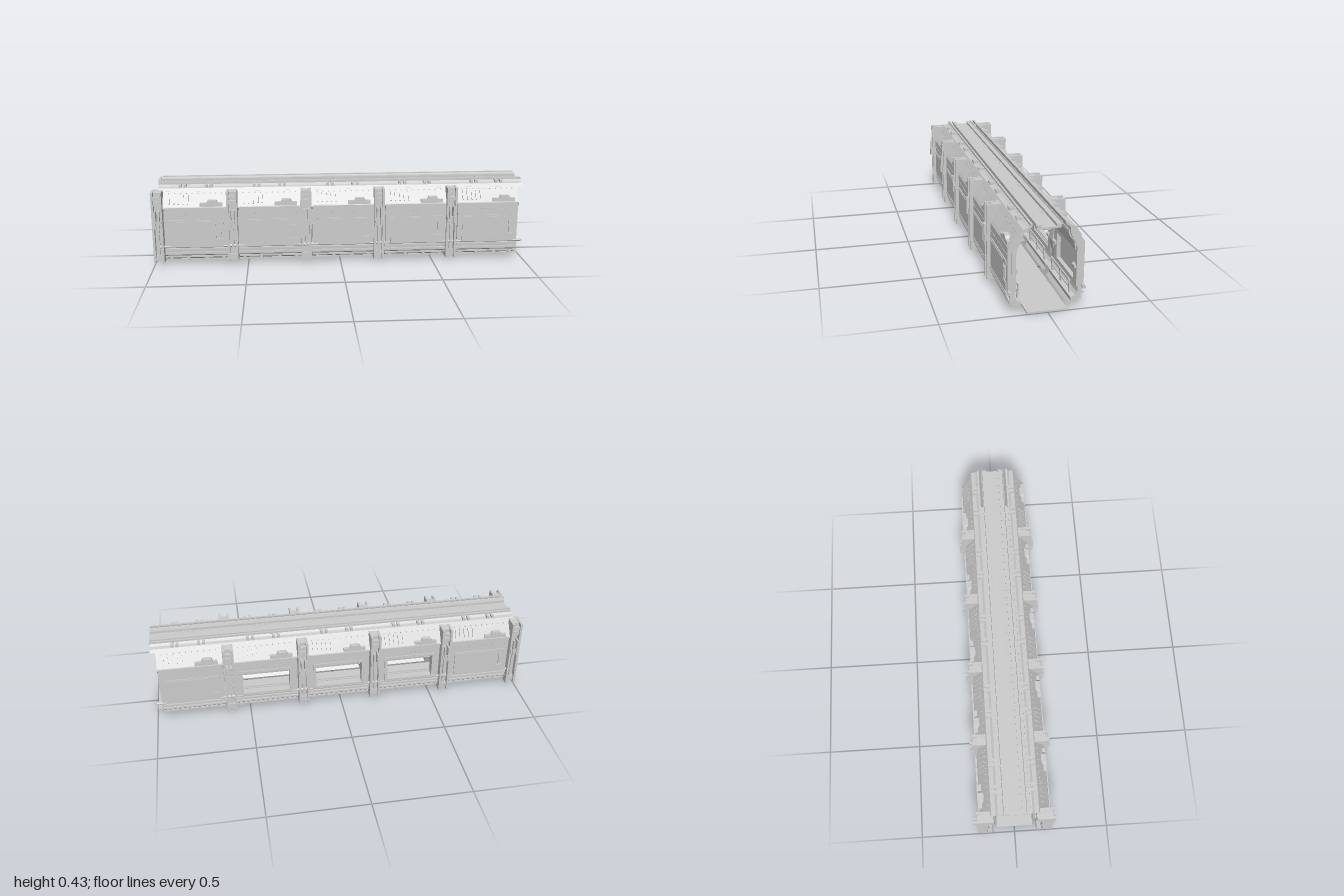
import * as THREE from 'three';

const material = new THREE.MeshStandardMaterial({ color: 0xcccccc, flatShading: true, side: THREE.DoubleSide });
const PITCH = 0.393, FIRST = -0.772, COUNT = 5;

function add(parent, name, geometry, x = 0, y = 0, z = 0) {
  const mesh = new THREE.Mesh(geometry, material);
  mesh.name = name;
  mesh.position.set(x, y, z);
  parent.add(mesh);
  return mesh;
}

function box(parent, name, w, h, d, x, y, z) {
  return add(parent, name, new THREE.BoxGeometry(w, h, d), x, y, z);
}

// Cross-section of [z, y] points swept along x, centred on x
function sweep(parent, name, points, length, x = 0) {
  const shape = new THREE.Shape(points.map(([z, y]) => new THREE.Vector2(-z, y)));
  const g = new THREE.ExtrudeGeometry(shape, { depth: length, bevelEnabled: false });
  g.translate(0, 0, -length / 2).rotateY(Math.PI / 2);
  return add(parent, name, g, x);
}

// Outline in the x-y plane with holes, with its back at z
function plate(parent, name, outline, holes, depth, z) {
  const toPoints = (list) => list.map(([x, y]) => new THREE.Vector2(x, y));
  const shape = new THREE.Shape(toPoints(outline));
  holes.forEach((h) => shape.holes.push(new THREE.Path(toPoints(h))));
  return add(parent, name, new THREE.ExtrudeGeometry(shape, { depth, bevelEnabled: false }), 0, 0, z);
}

const rect = (x0, y0, x1, y1) => [[x0, y0], [x1, y0], [x1, y1], [x0, y1]];

// One side wall of a bay, built facing +z
function wallPanel(open) {
  const wall = new THREE.Group();
  wall.name = open ? 'windowWall' : 'solidWall';

  // Curved foot of the wall with stepped strips
  sweep(wall, 'wallFoot', [[0.105, 0.014], [0.118, 0.02], [0.15, 0.034], [0.168, 0.055], [0.172, 0.1],
    [0.15, 0.1], [0.148, 0.07], [0.138, 0.056], [0.115, 0.05], [0.118, 0.03]], 0.34);
  [[0.045, 0.163], [0.068, 0.173], [0.09, 0.177]].forEach(([y, z]) =>
    box(wall, 'footStrip', 0.335, 0.009, 0.014, 0, y, z));
  for (const x of [-0.14, -0.05, 0.05, 0.14]) box(wall, 'footClip', 0.016, 0.012, 0.03, x, 0.03, 0.14);

  // Main plate, with or without its window
  const opening = rect(-0.125, 0.122, 0.125, 0.25);
  plate(wall, 'mainPlate', rect(-0.165, 0.1, 0.165, 0.318), open ? [opening] : [], 0.018, 0.162);
  plate(wall, 'innerFrame', rect(-0.17, 0.1, 0.17, 0.3), [opening], 0.02, 0.142);
  if (!open) {
    // Raised door with a notch around the handle
    plate(wall, 'doorPanel', [[-0.138, 0.102], [0.145, 0.102], [0.145, 0.145], [0.105, 0.145], [0.105, 0.225],
      [0.145, 0.225], [0.145, 0.25], [-0.138, 0.25]], [], 0.005, 0.18);
    box(wall, 'doorHandle', 0.018, 0.06, 0.008, 0.126, 0.185, 0.183);
    box(wall, 'doorRail', 0.24, 0.005, 0.004, -0.02, 0.24, 0.186);
  } else {
    plate(wall, 'windowFrame', rect(-0.14, 0.108, 0.14, 0.264), [opening], 0.006, 0.18);
    // Sill rack inside the window
    for (const y of [0.13, 0.142]) box(wall, 'sillBar', 0.25, 0.005, 0.008, 0, y, 0.15);
  }
  for (let i = 0; i < 14; i++) box(wall, 'rivet', 0.005, 0.005, 0.004, -0.143 + i * 0.022, 0.283, 0.181);

  // Sloping shoulder and the hooked lip along the roof
  sweep(wall, 'shoulder', [[0.18, 0.312], [0.176, 0.322], [0.128, 0.395], [0.108, 0.4], [0.108, 0.375],
    [0.114, 0.352], [0.142, 0.302], [0.15, 0.29], [0.165, 0.295]], 0.34);
  sweep(wall, 'roofLip', [[0.13, 0.396], [0.12, 0.411], [0.098, 0.415], [0.086, 0.424], [0.086, 0.434],
    [0.076, 0.434], [0.076, 0.427], [0.08, 0.418], [0.095, 0.408], [0.108, 0.398]], PITCH);
  for (const x of [-0.068, 0.068]) {
    for (const dx of [-0.013, 0.013]) box(wall, 'roofClamp', 0.015, 0.018, 0.03, x + dx, 0.418, 0.102);
  }

  // Louvre fins and a stepped housing on the shoulder
  const slope = Math.atan2(0.048, 0.073);
  for (let i = 0; i < 5; i++) {
    box(wall, 'louvreFin', 0.006, 0.052, 0.012, -0.135 + i * 0.024, 0.357, 0.155).rotation.x = -slope;
  }
  plate(wall, 'shoulderHousing', [[0.025, 0.322], [0.145, 0.322], [0.145, 0.342], [0.12, 0.342], [0.112, 0.356],
    [0.068, 0.356], [0.06, 0.342], [0.025, 0.342]], [], 0.035, 0.144);
  for (let i = 0; i < 10; i++) box(wall, 'shoulderStud', 0.005, 0.005, 0.007, -0.14 + i * 0.031, 0.386, 0.134);

  // Interior trim: padded header, pipe, folding rail
  sweep(wall, 'innerHeader', [[0.148, 0.265], [0.138, 0.275], [0.132, 0.315], [0.106, 0.352], [0.105, 0.372],
    [0.112, 0.376], [0.15, 0.31]], 0.31);
  sweep(wall, 'innerLedge', [[0.15, 0.185], [0.133, 0.188], [0.131, 0.2], [0.137, 0.206], [0.15, 0.206]], 0.03, -0.145);
  sweep(wall, 'innerLedge', [[0.15, 0.185], [0.133, 0.188], [0.131, 0.2], [0.137, 0.206], [0.15, 0.206]], 0.03, 0.145);
  const pipe = new THREE.CylinderGeometry(0.008, 0.008, 0.39, 10).rotateZ(Math.PI / 2);
  add(wall, 'sidePipe', pipe, 0, 0.104, 0.174);
  for (const y of [0.085, 0.12]) box(wall, 'railBar', 0.28, 0.006, 0.006, 0, y, 0.122);
  for (const x of [-0.13, 0, 0.13]) box(wall, 'railPost', 0.012, 0.068, 0.007, x, 0.09, 0.123).rotation.x = -0.08;
  return wall;
}

// Upright support between bays, built facing +z
function rib() {
  const group = new THREE.Group();
  group.name = 'rib';
  const inner = [[0.125, 0.018], [0.115, 0.03], [0.118, 0.05], [0.142, 0.062], [0.15, 0.09], [0.145, 0.14],
    [0.134, 0.19], [0.14, 0.24], [0.135, 0.3], [0.112, 0.345], [0.106, 0.36], [0.108, 0.405]];
  for (const x of [-0.022, 0.022]) sweep(group, 'ribFlange', [...inner, [0.197, 0.405], [0.197, 0.018]], 0.012, x);
  sweep(group, 'ribWeb', [...inner, [0.17, 0.4], [0.17, 0.018]], 0.034);
  // Bracket fins and equipment in the channel
  for (const x of [-0.01, 0.01]) box(group, 'bracketFin', 0.009, 0.09, 0.045, x, 0.26, 0.188);
  box(group, 'bracketBase', 0.046, 0.03, 0.008, 0, 0.235, 0.2);
  for (const y of [0.345, 0.372]) box(group, 'channelBox', 0.032, 0.02, 0.02, 0, y, 0.18);
  box(group, 'channelConduit', 0.012, 0.16, 0.012, 0, 0.12, 0.176);
  box(group, 'channelFoot', 0.034, 0.03, 0.018, 0, 0.045, 0.178);
  return group;
}

export function createModel() {
  const model = new THREE.Group();
  model.name = 'corridor';

  for (let i = 0; i < COUNT; i++) {
    const x = FIRST + i * PITCH;
    for (const back of [false, true]) {
      const wall = wallPanel(back && i > 0 && i < COUNT - 1);
      const support = rib();
      wall.position.x = x;
      support.position.x = x - 0.2;
      wall.rotation.y = support.rotation.y = back ? Math.PI : 0;
      model.add(wall, support);
    }
    // Ceiling tabs and lamp of each bay
    for (const s of [-1, 1]) {
      plate(model, 'ceilingTab', [[-0.04, 0], [0.04, 0], [0.03, 0.014], [-0.03, 0.014]], [], 0.004, 0)
        .rotation.x = -Math.PI / 2;
      const tab = model.children[model.children.length - 1];
      tab.rotation.z = s < 0 ? Math.PI : 0;
      tab.position.set(x, 0.411, s * 0.035);
    }
  }

  // Floor
  box(model, 'floor', 1.97, 0.008, 0.191, 0.013, 0.005, 0.002);
  for (let i = 0; i < 10; i++) box(model, 'floorSeam', 0.003, 0.001, 0.19, -0.87 + i * 0.1965, 0.0005, 0.002);

  // Ceiling with side channels
  const half = [[0.04, 0.406], [0.056, 0.406], [0.056, 0.422], [0.062, 0.422], [0.062, 0.433],
    [0.059, 0.433], [0.057, 0.426], [0.034, 0.426], [0.034, 0.413]];
  const mirrored = half.map(([z, y]) => [-z, y]).reverse();
  sweep(model, 'ceiling', [...half, ...mirrored], 1.97, 0.013);
  sweep(model, 'ceilingLamp', [[-0.016, 0.407], [-0.012, 0.4], [-0.004, 0.396], [0.004, 0.396],
    [0.012, 0.4], [0.016, 0.407]], 1.95, 0.013);
  return model;
}
